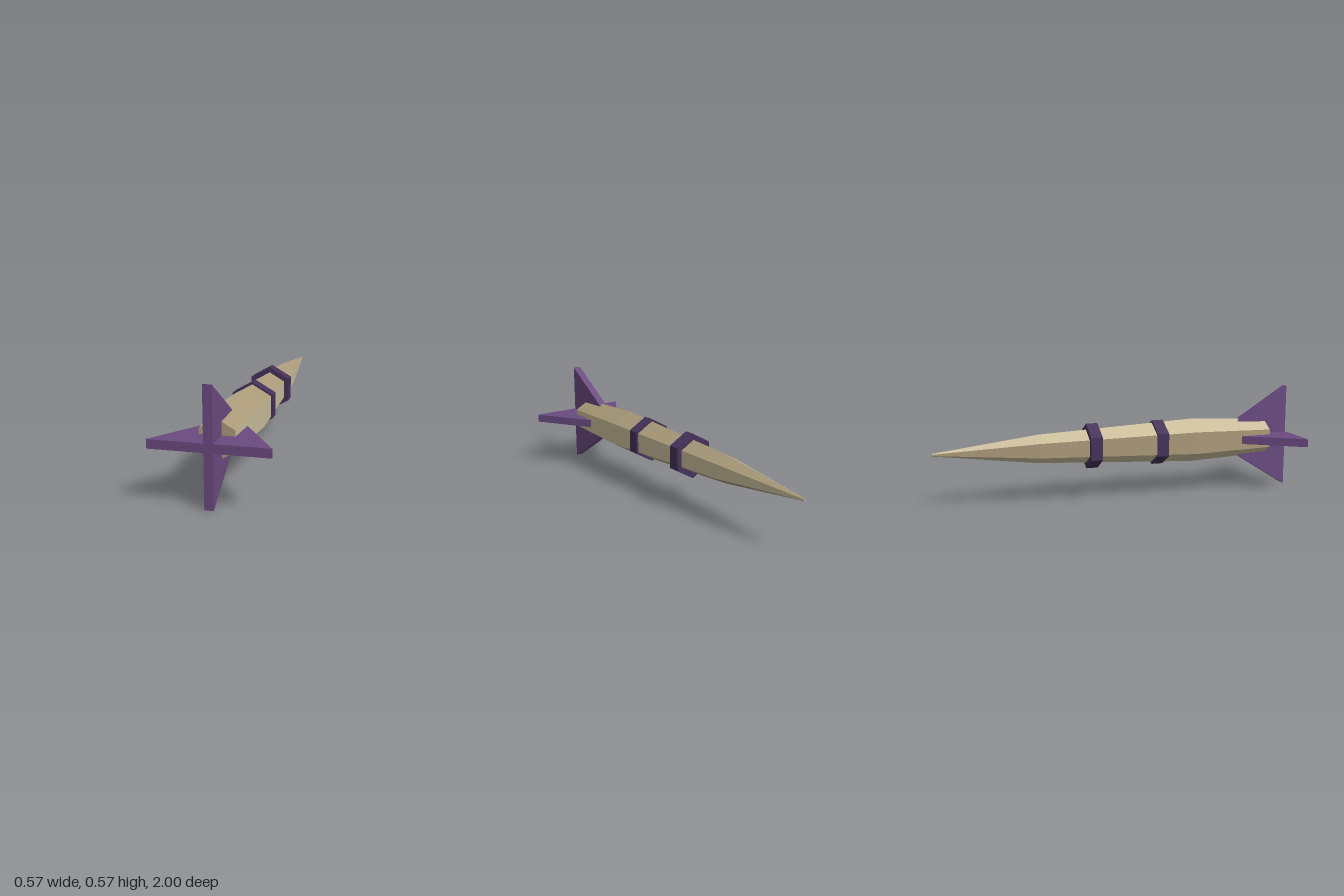
import * as THREE from 'three';

const AXIS_Y = 0.287;

const material = (name, color) => {
  const m = new THREE.MeshStandardMaterial({ color, flatShading: true });
  m.name = name;
  return m;
};

export function createModel() {
  const cream = material('cream', 0xc9bd9b);
  const tan = material('tan', 0xaa9a79);
  const purple = material('purple', 0x6a4a80);
  const darkPurple = material('dark purple', 0x453159);

  const model = new THREE.Group();
  model.name = 'rocket';
  const add = (name, geometry, mat) => {
    const mesh = new THREE.Mesh(geometry, mat);
    mesh.name = name;
    mesh.position.y = AXIS_Y;
    model.add(mesh);
    return mesh;
  };

  // Six-sided tapering body with alternating panels, nose towards -z
  const profile = [[0, -1], [0.007, -1], [0.077, -0.45], [0.121, 0.42], [0.1, 0.87]]
    .map(([r, z]) => new THREE.Vector2(r, z));
  for (let i = 0; i < 6; i++) {
    const panel = new THREE.LatheGeometry(profile, 1, i * Math.PI / 3, Math.PI / 3);
    panel.rotateX(Math.PI / 2);
    add('bodyPanel' + (i + 1), panel, i % 2 ? cream : tan);
  }

  // Flat tail end
  const tail = new THREE.CircleGeometry(0.1, 6, Math.PI / 2);
  tail.translate(0, 0, 0.87);
  add('tailEnd', tail, tan);

  // Two hexagonal bands
  [['rearBand', 0.222], ['frontBand', -0.153]].forEach(([name, z]) => {
    const band = new THREE.CylinderGeometry(0.123, 0.123, 0.064, 6);
    band.rotateX(Math.PI / 2);
    band.translate(0, 0, z);
    add(name, band, darkPurple);
  });

  // Four swept triangular fins meeting on the axis
  const finShape = new THREE.Shape([
    new THREE.Vector2(0.545, 0),
    new THREE.Vector2(1, 0),
    new THREE.Vector2(1, 0.2865),
  ]);
  const thickness = 0.044;
  const fin = new THREE.ExtrudeGeometry(finShape, { depth: thickness, bevelEnabled: false });
  fin.translate(0, 0, -thickness / 2);
  fin.rotateY(-Math.PI / 2);
  ['topFin', 'rightFin', 'bottomFin', 'leftFin'].forEach((name, i) => {
    add(name, fin, purple).rotation.z = i * Math.PI / 2;
  });

  return model;
}
